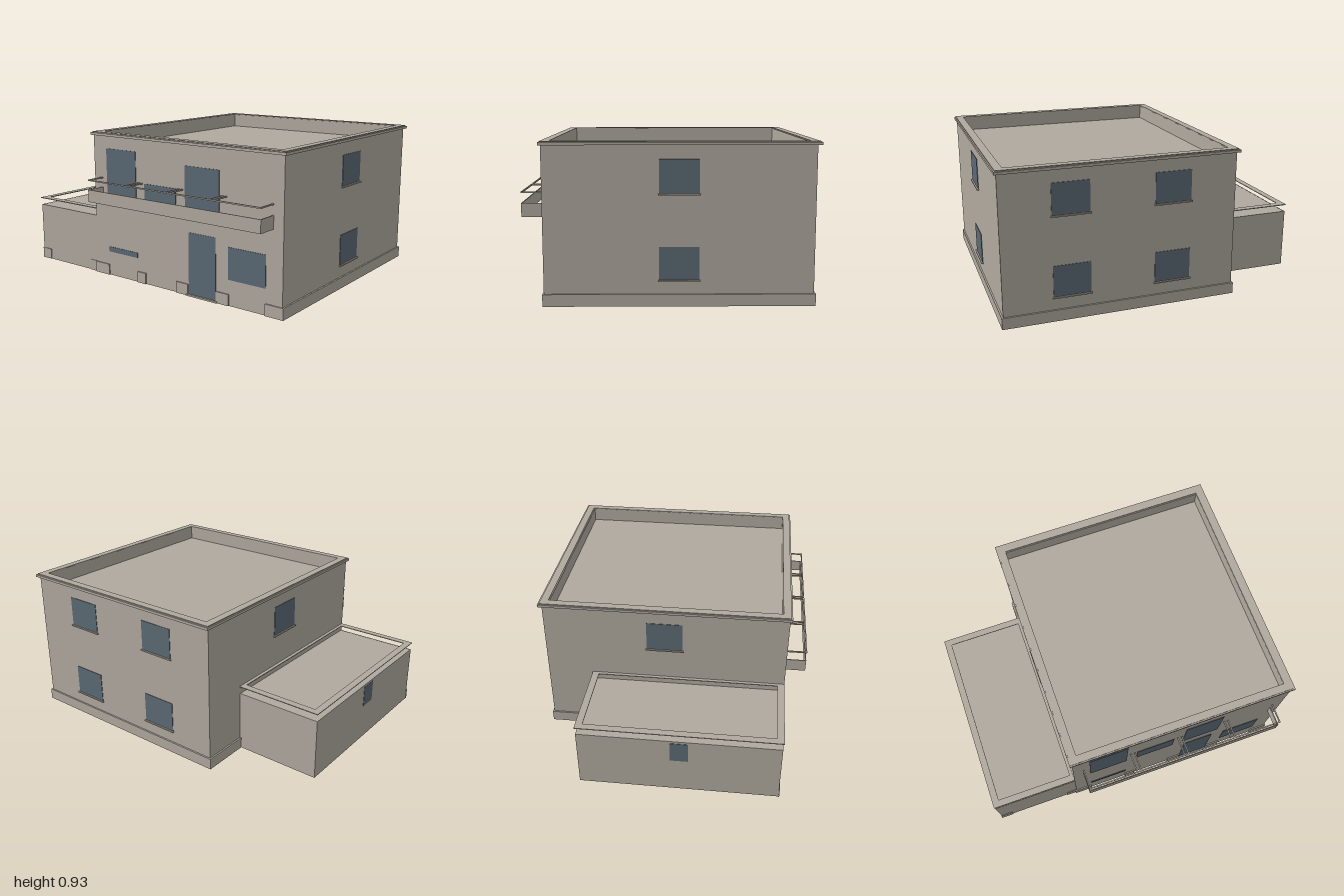
import * as THREE from 'three';

export function createModel() {
  const model = new THREE.Group();
  const wall = new THREE.MeshStandardMaterial({ color: 0xb0a99f });
  wall.name = 'warm grey plaster';
  const glass = new THREE.MeshStandardMaterial({ color: 0x5b6a74 });
  glass.name = 'slate blue glazing';

  const add = (name, geometry, material) => {
    const mesh = new THREE.Mesh(geometry, material);
    mesh.name = name;
    model.add(mesh);
    return mesh;
  };
  // Box given by its limits on each axis
  const box = (name, x0, x1, y0, y1, z0, z1, material = wall) =>
    add(name, new THREE.BoxGeometry(x1 - x0, y1 - y0, z1 - z0)
      .translate((x0 + x1) / 2, (y0 + y1) / 2, (z0 + z1) / 2), material);
  // Rectangular ring with its band width measured inwards
  const ring = (name, x0, x1, y0, y1, z0, z1, w) => {
    const rect = (Type, d) => new Type([[x0 + d, -z1 + d], [x1 - d, -z1 + d], [x1 - d, -z0 - d], [x0 + d, -z0 - d]]
      .map(([x, y]) => new THREE.Vector2(x, y)));
    const shape = rect(THREE.Shape, 0);
    shape.holes.push(rect(THREE.Path, w));
    const geometry = new THREE.ExtrudeGeometry(shape, { depth: y1 - y0, bevelEnabled: false });
    return add(name, geometry.rotateX(-Math.PI / 2).translate(0, y0, 0), wall);
  };

  // Main block: hollow walls, sunken flat roof, parapet and stepped cornice
  ring('mainWalls', -0.45, 0.98, 0, 0.925, -0.815, 0.705, 0.006);
  box('mainRoof', -0.446, 0.976, 0.825, 0.835, -0.811, 0.701);
  ring('parapet', -0.446, 0.976, 0.83, 0.925, -0.811, 0.701, 0.038);
  ring('cornice', -0.465, 0.995, 0.908, 0.924, -0.838, 0.718, 0.055);
  ring('cornice cap', -0.457, 0.987, 0.922, 0.93, -0.828, 0.71, 0.048);

  // Main plinth, broken at the front below the openings
  box('plinthRight', 0.978, 0.99, 0, 0.07, -0.825, 0.713);
  box('plinthBack', -0.46, 0.99, 0, 0.07, -0.825, -0.813);
  box('plinthLeft', -0.46, -0.448, 0, 0.07, -0.825, -0.52);
  for (const [x0, x1] of [[-0.46, -0.34], [-0.09, -0.02], [0.23, 0.32], [0.53, 0.62], [0.87, 0.99]])
    box('plinthFront', x0, x1, 0, 0.07, 0.703, 0.713);

  // Low side wing with a thin coping frame above it
  box('wingSideWall', -0.997, -0.991, 0, 0.38, -0.52, 0.7);
  box('wingBackWall', -0.997, -0.45, 0, 0.38, -0.52, -0.514);
  box('wingFrontWall', -0.997, -0.45, 0, 0.38, 0.694, 0.7);
  box('wingRoof', -0.993, -0.45, 0.37, 0.379, -0.516, 0.696);
  ring('wingCoping', -1, -0.428, 0.425, 0.43, -0.525, 0.705, 0.043);
  for (const [x0, x1] of [[-1, -0.92], [-0.52, -0.45]])
    box('wingPlinth', x0, x1, 0, 0.07, 0.698, 0.705);

  // Front windows and door
  const front = (name, x0, x1, y0, y1) => box(name, x0, x1, y0, y1, 0.702, 0.708, glass);
  front('upperWindow', -0.34, -0.09, 0.49, 0.83);
  front('upperWindow', -0.02, 0.23, 0.49, 0.64);
  front('upperWindow', 0.3, 0.55, 0.49, 0.785);
  front('lowWindow', -0.34, -0.09, 0.157, 0.19);
  front('frontWindow', 0.615, 0.87, 0.157, 0.35);
  front('frontDoor', 0.325, 0.525, 0.01, 0.39);
  box('doorStep', 0.31, 0.54, 0, 0.01, 0.7, 0.72);

  // Back and side windows with sills, on both storeys
  for (const y of [0.15, 0.64]) {
    for (const x of [-0.16, 0.46]) {
      box('backWindow', x, x + 0.225, y, y + 0.19, -0.818, -0.812, glass);
      box('backSill', x - 0.006, x + 0.231, y - 0.008, y, -0.827, -0.812);
    }
    box('rightWindow', 0.977, 0.983, y, y + 0.19, -0.168, 0.057, glass);
    box('rightSill', 0.977, 0.992, y - 0.008, y, -0.175, 0.063);
  }
  box('leftWindow', -0.453, -0.447, 0.64, 0.83, -0.168, 0.057, glass);
  box('leftSill', -0.462, -0.447, 0.632, 0.64, -0.175, 0.063);
  box('wingWindow', -0.999, -0.993, 0.23, 0.365, 0.04, 0.15, glass);

  // Balcony screen and handrails in four bays
  box('balconyFront', -0.385, 0.915, 0.5, 0.578, 0.824, 0.83);
  for (const x of [-0.385, 0.909])
    box('balconyEnd', x, x + 0.006, 0.5, 0.578, 0.7, 0.83);
  box('handrail', -0.385, 0.915, 0.635, 0.643, 0.822, 0.83);
  for (const x of [-0.385, -0.071, -0.044, 0.25, 0.276, 0.57, 0.596, 0.907])
    box('handrailReturn', x, x + 0.008, 0.635, 0.643, 0.7, 0.826);

  return model;
}
